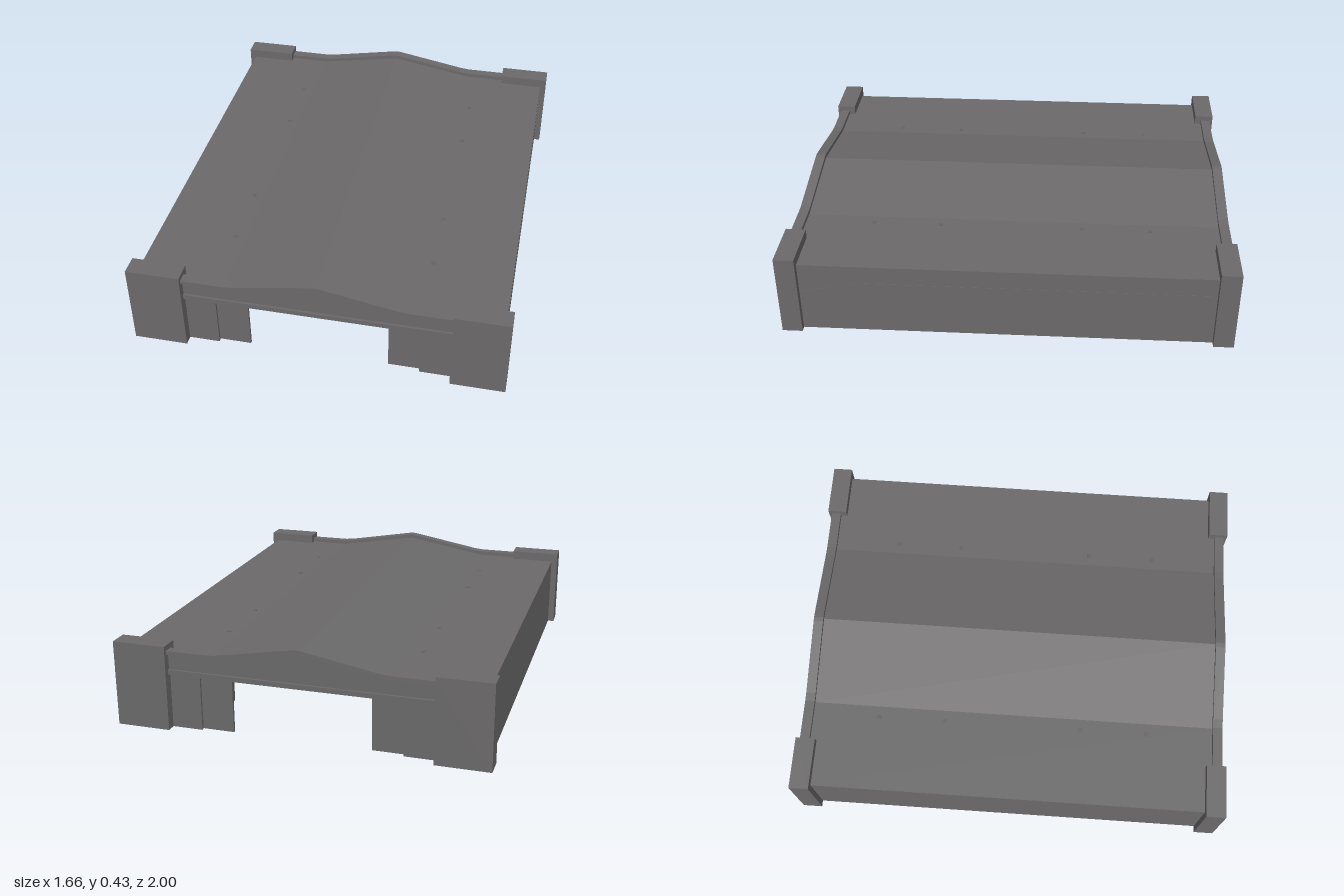
import * as THREE from 'three';

const wallMat = new THREE.MeshStandardMaterial({ color: 0x6b6969 });
wallMat.name = 'hangar grey';
const steelMat = new THREE.MeshStandardMaterial({ color: 0x656363 });
steelMat.name = 'steel grey';

// box given by its min and max on each axis
function box(name, x0, x1, y0, y1, z0, z1, mat = wallMat) {
  const mesh = new THREE.Mesh(new THREE.BoxGeometry(x1 - x0, y1 - y0, z1 - z0), mat);
  mesh.position.set((x0 + x1) / 2, (y0 + y1) / 2, (z0 + z1) / 2);
  mesh.name = name;
  return mesh;
}

// square steel bar between two points
function bar(name, a, b, t = 0.016) {
  const p = new THREE.Vector3(...a), q = new THREE.Vector3(...b);
  const mesh = new THREE.Mesh(new THREE.BoxGeometry(t, t, p.distanceTo(q)), steelMat);
  mesh.position.copy(p).add(q).multiplyScalar(0.5);
  mesh.lookAt(q);
  mesh.name = name;
  return mesh;
}

// extrude an XY outline from z0 to z1
function slab(name, points, z0, z1) {
  const shape = new THREE.Shape(points.map(([x, y]) => new THREE.Vector2(x, y)));
  const geo = new THREE.ExtrudeGeometry(shape, { depth: z1 - z0, bevelEnabled: false });
  geo.translate(0, 0, z0);
  const mesh = new THREE.Mesh(geo, wallMat);
  mesh.name = name;
  return mesh;
}

// hollow corner pillar, open underneath
function pillar(sx, sz) {
  const g = new THREE.Group();
  g.name = 'cornerPillar';
  const w = 0.12, d = 0.045, t = 0.012;
  const rect = (C, a, b) => new C([[-a, -b], [a, -b], [a, b], [-a, b]].map(p => new THREE.Vector2(...p)));
  const shape = rect(THREE.Shape, w, d);
  shape.holes.push(rect(THREE.Path, w - t, d - t));
  const geo = new THREE.ExtrudeGeometry(shape, { depth: 0.37, bevelEnabled: false });
  geo.rotateX(-Math.PI / 2);
  const shell = new THREE.Mesh(geo, wallMat);
  shell.name = 'pillarShell';
  g.add(shell, box('pillarCap', -w, w, 0.37, 0.385, -d, d));
  g.position.set(sx * 0.708, 0, sz * 0.955);
  return g;
}

// gable fascia, cap and sliding doors of one end
function endWall() {
  const g = new THREE.Group();
  g.name = 'endWall';
  const crest = [[0.6, 0.345], [0.4, 0.345], [0.36, 0.349], [0.02, 0.41], [0, 0.412],
    [-0.02, 0.41], [-0.36, 0.349], [-0.4, 0.345], [-0.6, 0.345]];
  const raised = crest.map(([x, y]) => [x, y + 0.016]);
  g.add(slab('fascia', [[-0.6, 0.26], [0.6, 0.26], ...crest], 0.94, 0.965));
  g.add(slab('fasciaCap', [...raised, ...[...crest].reverse()], 0.94, 0.985));
  g.add(box('doorRail', -0.6, 0.6, 0.25, 0.272, 0.92, 0.975));
  for (const s of [-1, 1]) {
    const panel = (name, a, b, z) =>
      box(name, Math.min(s * a, s * b), Math.max(s * a, s * b), 0, 0.255, z, z + 0.012);
    g.add(panel('outerDoor', 0.45, 0.6, 0.945), panel('innerDoor', 0.31, 0.465, 0.927));
  }
  return g;
}

// arched portal frame standing across the hall
function portalFrame(z) {
  const g = new THREE.Group();
  g.name = 'portalFrame';
  const top = [[-0.45, 0.318], [-0.36, 0.33], [0, 0.388], [0.36, 0.33], [0.45, 0.318]];
  const low = [[-0.45, 0.265], [-0.25, 0.3], [0, 0.31], [0.25, 0.3], [0.45, 0.265]];
  for (let i = 0; i < 4; i++) {
    g.add(bar('upperChord', [...top[i], z], [...top[i + 1], z]));
    g.add(bar('lowerChord', [...low[i], z], [...low[i + 1], z]));
  }
  for (const x of [-0.25, 0, 0.25])
    g.add(bar('strut', [x, x ? 0.3 : 0.31, z], [x, x ? 0.348 : 0.388, z], 0.01));
  for (const s of [-1, 1]) {
    g.add(box('post', s * 0.45 - 0.01, s * 0.45 + 0.01, 0, 0.343, z - 0.01, z + 0.01, steelMat));
    g.add(bar('kneeBrace', [s * 0.45, 0.2, z], [s * 0.38, 0.276, z], 0.01));
  }
  return g;
}

export function createModel() {
  const model = new THREE.Group();
  model.name = 'hangar';

  // folded roof sheet
  const roofLine = [[0.8, 0.342], [0.4, 0.342], [0, 0.41], [-0.4, 0.342], [-0.8, 0.342]];
  const underside = roofLine.map(([x, y]) => [x, y - 0.012]).reverse();
  model.add(slab('roof', [...roofLine, ...underside], -0.945, 0.945));

  // long side walls, with a shallow panel on the left one
  for (const s of [-1, 1])
    model.add(box('sideWall', s * 0.793 - 0.006, s * 0.793 + 0.006, 0, 0.335, -0.93, 0.93));
  const panel = slab('sidePanel', [[-0.91, 0.2], [0.64, 0.2], [0.91, 0.255], [-0.66, 0.255]], 0, 0.002);
  panel.rotation.y = Math.PI / 2;
  panel.position.x = 0.7985;
  model.add(panel);

  // both ends
  const front = endWall();
  const back = endWall();
  back.rotation.y = Math.PI;
  model.add(front, back);
  for (const sx of [-1, 1]) for (const sz of [-1, 1]) model.add(pillar(sx, sz));

  // interior steelwork
  for (const z of [-0.63, -0.32, 0.32, 0.63]) model.add(portalFrame(z));
  for (const s of [-1, 1]) {
    const x = s * 0.45;
    model.add(bar('longBeam', [x, 0.265, -0.63], [x, 0.265, 0.63]));
    for (const e of [-1, 1]) {
      model.add(bar('sideRail', [x, 0.15, e * 0.32], [x, 0.15, e * 0.63], 0.012));
      for (const z of [0.42, 0.53])
        model.add(bar('railStrut', [x, 0.15, e * z], [x, 0.265, e * z], 0.008));
    }
  }
  return model;
}
